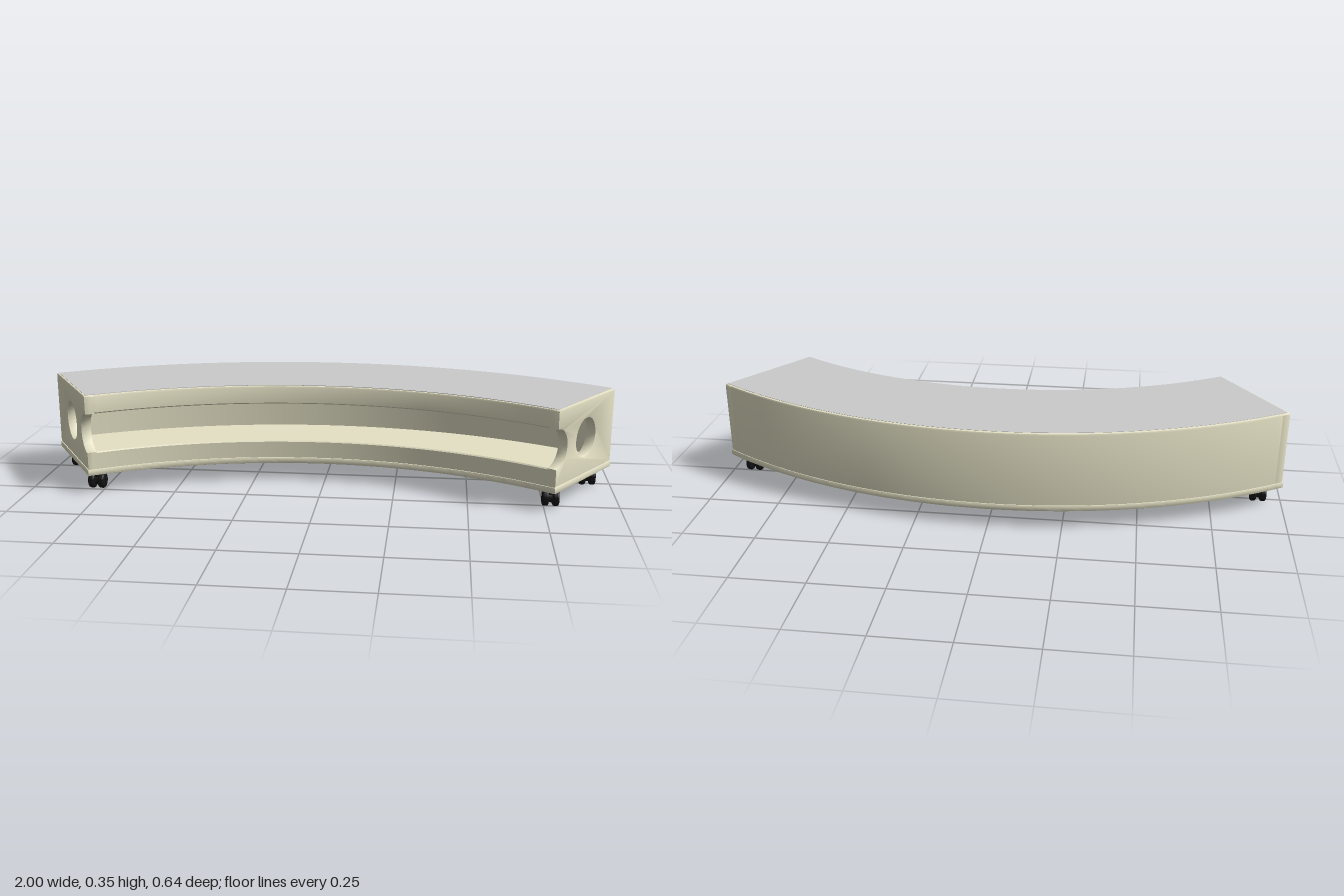
import * as THREE from 'three';
import { toCreasedNormals } from 'three/addons/utils/BufferGeometryUtils.js';

// The bench is a sector of a ring; angles are measured either side of its middle
const CENTRE_Z = 1.497, R_IN = 1.42, R_OUT = 1.817, HALF = Math.asin(1 / R_OUT);
const WALL = 0.036, Y_BASE = 0.063, Y_SEAM = 0.085, Y_TOP = 0.345;
const HOLE_Y = 0.213, HOLE_R = 0.067;

const cream = new THREE.MeshStandardMaterial({ color: 0xe6e2c6 });
const grey = new THREE.MeshStandardMaterial({ color: 0xcccccc });
const black = new THREE.MeshStandardMaterial({ color: 0x141414 });

function part(parent, name, geometry, material) {
  const mesh = new THREE.Mesh(geometry, material);
  mesh.name = name;
  parent.add(mesh);
  return mesh;
}

// Flat ring sector between two heights, with softened edges
function sectorSlab(r0, r1, half, y0, y1, bevel) {
  const shape = new THREE.Shape();
  shape.absarc(0, 0, r1, Math.PI / 2 - half, Math.PI / 2 + half, false);
  shape.absarc(0, 0, r0, Math.PI / 2 + half, Math.PI / 2 - half, true);
  const g = new THREE.ExtrudeGeometry(shape, {
    depth: y1 - y0 - 2 * bevel, curveSegments: 48,
    bevelSize: bevel, bevelThickness: bevel, bevelOffset: -bevel, bevelSegments: 2,
  });
  g.rotateX(-Math.PI / 2).translate(0, y0 + bevel, 0);
  return toCreasedNormals(g, 0.5);
}

// C-shaped section swept along the arc: back wall, top, floor and the two front lips
function shellGeometry(r0, r1) {
  const c = 0.004, k = 0.008, ri = r0 + WALL, ro = r1 - WALL;
  const low = HOLE_Y - HOLE_R, high = HOLE_Y + HOLE_R;
  const points = [
    [r0, Y_SEAM], [r1, Y_SEAM], [r1, Y_TOP - k], [r1 - k * 0.3, Y_TOP - k * 0.3], [r1 - k, Y_TOP],
    [r0 + k, Y_TOP], [r0 + k * 0.3, Y_TOP - k * 0.3], [r0, Y_TOP - k],
    [r0, high + c], [r0 + c, high], [ri, high], [ri, Y_TOP - WALL], [ro, Y_TOP - WALL],
    [ro, Y_SEAM + 0.02], [ri, Y_SEAM + 0.02], [ri, low], [r0 + c, low], [r0, low - c], [r0, Y_SEAM],
  ].map(([r, y]) => new THREE.Vector2(r, y));
  const half = HALF - 0.012;
  return toCreasedNormals(new THREE.LatheGeometry(points, 64, Math.PI - half, 2 * half), 0.5);
}

// End panel in the radius/height plane, with a round hole and a half-round bite at the front edge
function endPanelGeometry(r0, r1) {
  const b = 0.005, k = 0.008;
  const s = new THREE.Shape();
  s.moveTo(r0, Y_SEAM);
  s.lineTo(r1, Y_SEAM);
  s.lineTo(r1, Y_TOP - k);
  s.quadraticCurveTo(r1, Y_TOP, r1 - k, Y_TOP);
  s.lineTo(r0 + k, Y_TOP);
  s.quadraticCurveTo(r0, Y_TOP, r0, Y_TOP - k);
  s.lineTo(r0, HOLE_Y + HOLE_R);
  s.absarc(r0, HOLE_Y, HOLE_R, Math.PI / 2, -Math.PI / 2, true);
  s.lineTo(r0, Y_SEAM);
  const hole = new THREE.Path();
  hole.absarc((r0 + r1) / 2, HOLE_Y, HOLE_R, 0, Math.PI * 2, true);
  s.holes.push(hole);
  const g = new THREE.ExtrudeGeometry(s, {
    depth: WALL - 2 * b, curveSegments: 10,
    bevelSize: b, bevelThickness: b, bevelOffset: -b, bevelSegments: 2,
  });
  g.translate(0, 0, b);
  return toCreasedNormals(g, 0.6);
}

// Twin-wheel caster with rounded treads, a hub and a short stem
function makeCaster(name) {
  const caster = new THREE.Group();
  caster.name = name;
  const r = 0.028, w = 0.011, e = 0.006;
  const tread = [[0, -w], [r - e, -w], [r - e * 0.3, -w + e * 0.4], [r, -w + e],
    [r, w - e], [r - e * 0.3, w - e * 0.4], [r - e, w], [0, w]]
    .map(([x, y]) => new THREE.Vector2(x, y));
  const wheel = toCreasedNormals(new THREE.LatheGeometry(tread, 24), 0.7);
  wheel.rotateZ(Math.PI / 2);
  for (const side of [-1, 1]) {
    part(caster, 'casterWheel', wheel, black).position.set(side * 0.017, r, 0);
  }
  const hub = new THREE.CylinderGeometry(0.016, 0.016, 0.014, 16).rotateZ(Math.PI / 2);
  part(caster, 'casterHub', hub, black).position.y = r;
  part(caster, 'casterStem', new THREE.CylinderGeometry(0.01, 0.01, 0.036, 16), black).position.y = 0.047;
  return caster;
}

export function createModel() {
  const model = new THREE.Group();
  model.name = 'curvedBench';
  const body = new THREE.Group();
  body.name = 'benchBody';
  body.position.z = CENTRE_Z;

  // Base plate stands slightly proud of the shell
  part(body, 'basePlate', sectorSlab(R_IN, R_OUT, HALF, Y_BASE, Y_SEAM, 0.004), cream);
  const r0 = R_IN + 0.002, r1 = R_OUT - 0.002;
  part(body, 'shell', shellGeometry(r0, r1), cream);

  // End panels
  const panel = endPanelGeometry(r0, r1);
  const left = part(body, 'leftEndPanel', panel, cream);
  left.rotation.y = Math.PI / 2 - HALF;
  left.translateZ(-WALL - 0.001);
  const right = part(body, 'rightEndPanel', panel, cream);
  right.rotation.y = Math.PI / 2 + HALF;
  right.translateZ(0.001);

  // Thin seat pad lying on the top
  part(body, 'seatPad', sectorSlab(r0 + 0.006, r1 - 0.008, HALF - 0.005, Y_TOP - 0.004, Y_TOP + 0.001, 0), grey);
  model.add(body);

  // Casters under the four corners
  for (const side of [-1, 1]) {
    for (const [name, x, z] of [['frontCaster', 0.775, 0.238], ['backCaster', 0.92, 0]]) {
      const caster = makeCaster(name);
      caster.position.set(side * x, 0, z);
      model.add(caster);
    }
  }

  // Slight turn about the upright axis
  model.rotation.y = -0.01;
  const root = new THREE.Group();
  root.name = 'bench';
  root.add(model);
  return root;
}
